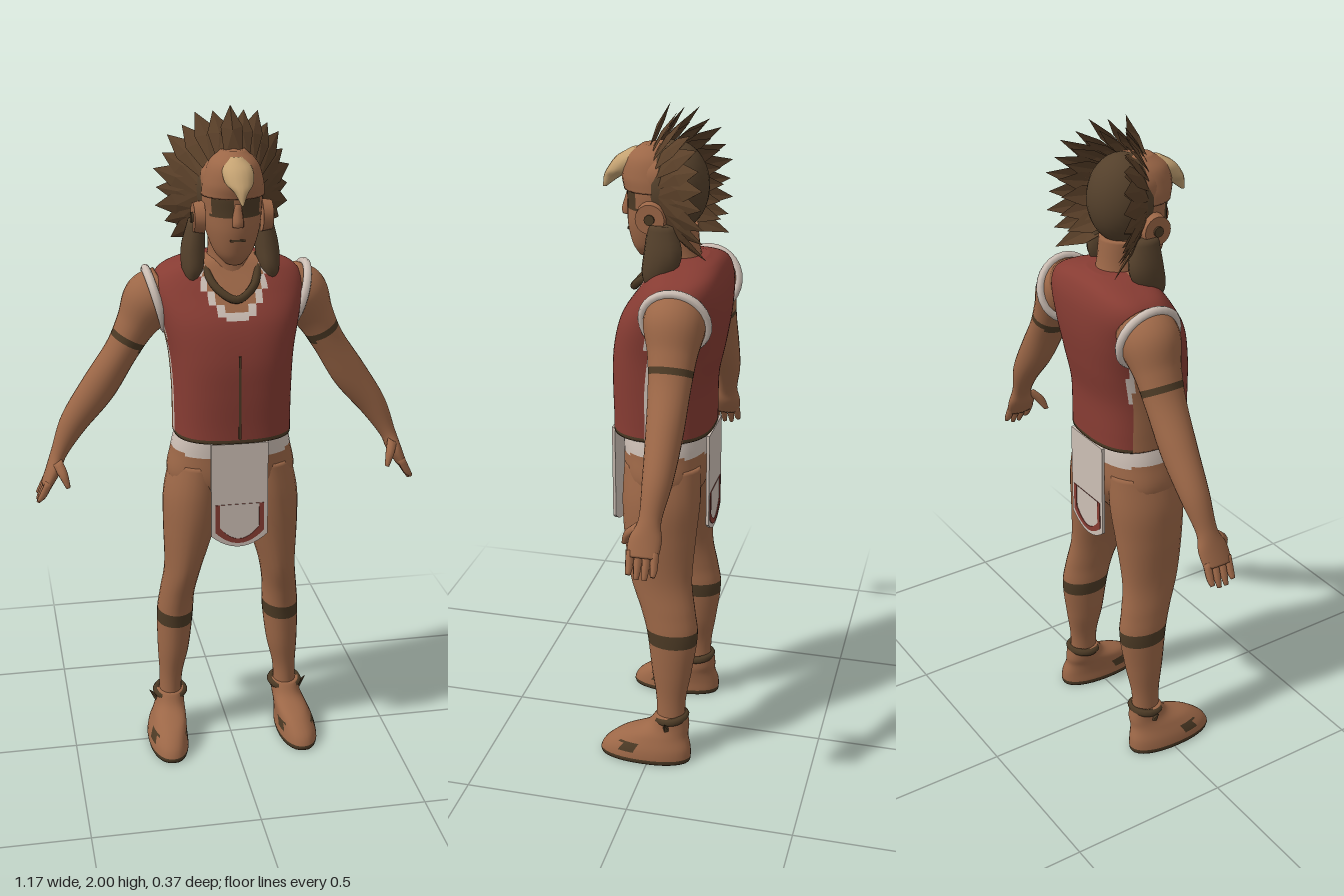
import * as THREE from 'three';
import { mergeGeometries } from 'three/addons/utils/BufferGeometryUtils.js';

const V = (x, y, z) => new THREE.Vector3(x, y, z);
const mat = (name, color, extra = {}) => {
  const m = new THREE.MeshStandardMaterial({ color, ...extra });
  m.name = name;
  return m;
};
const skin = mat('skin', 0x9c6747);
const red = mat('red cloth', 0x873c33);
const white = mat('white cloth', 0xcdbfb5, { side: THREE.DoubleSide });
const feather = mat('feather brown', 0x5a4029, { side: THREE.DoubleSide, flatShading: true });
const hair = mat('hair brown', 0x54402b);
const dark = mat('dark leather', 0x4c3a25);
const horn = mat('beak tan', 0xc4a272);
const palette = [skin, red, white, dark];
const SKIN = 0, RED = 1, WHITE = 2, DARK = 3;

// Smooth body through rings [x, y, z, radiusX, radiusZ], listed from top to bottom.
// pick(x, y, z) chooses a palette entry for each face; tilt turns rings along the path.
function loft(rings, { n = 24, rows = 24, e = 1, tilt = false, pick = null } = {}) {
  const first = rings[0], last = rings[rings.length - 1];
  const all = [[...first.slice(0, 3), 0, 0], ...rings, [...last.slice(0, 3), 0, 0]];
  const path = new THREE.CatmullRomCurve3(rings.map(r => V(r[0], r[1], r[2])), false, 'catmullrom');
  const size = new THREE.CatmullRomCurve3(rings.map(r => V(r[3], r[4], 0)), false, 'catmullrom');
  const samples = [];
  for (let i = 0; i <= rows; i++) samples.push([path.getPoint(i / rows), size.getPoint(i / rows)]);
  // closed ends
  samples.unshift([V(...all[0].slice(0, 3)), V(0, 0, 0)]);
  samples.push([V(...last.slice(0, 3)), V(0, 0, 0)]);
  const pos = [], buckets = palette.map(() => []), pw = v => Math.sign(v) * Math.abs(v) ** e;
  samples.forEach(([c, s], i) => {
    const a = samples[Math.max(i - 2, 0)][0], b = samples[Math.min(i + 2, samples.length - 1)][0];
    const t = tilt ? V(b.x - a.x, b.y - a.y, 0).normalize() : V(0, -1, 0);
    for (let j = 0; j < n; j++) {
      const k = j / n * Math.PI * 2, u = pw(Math.cos(k)) * Math.max(s.x, 0.0005);
      pos.push(c.x - t.y * u, c.y + t.x * u, c.z + pw(Math.sin(k)) * Math.max(s.y, 0.0005));
    }
  });
  for (let i = 0; i < samples.length - 1; i++) for (let j = 0; j < n; j++) {
    const a = i * n + j, b = i * n + (j + 1) % n, c = a + n, d = b + n;
    const mid = k => (pos[a * 3 + k] + pos[b * 3 + k] + pos[c * 3 + k] + pos[d * 3 + k]) / 4;
    buckets[pick ? pick(mid(0), mid(1), mid(2)) : 0].push(a, b, c, b, d, c);
  }
  const geo = new THREE.BufferGeometry();
  geo.setAttribute('position', new THREE.Float32BufferAttribute(pos, 3));
  geo.setIndex(buckets.flat());
  if (pick) {
    let start = 0;
    buckets.forEach((f, m) => { if (f.length) geo.addGroup(start, f.length, m); start += f.length; });
  }
  geo.computeVertexNormals();
  return geo;
}

function mirrored(geo) {
  const g = geo.clone().scale(-1, 1, 1), ix = g.index.array;
  for (let i = 0; i < ix.length; i += 3) [ix[i], ix[i + 1]] = [ix[i + 1], ix[i]];
  return g;
}

// One ridged, kite-shaped feather
function plume(base, tip, across, w) {
  const at = (t, s, lift = 0) => base.clone().lerp(tip, t).addScaledVector(across, s * w).add(V(0, 0, lift));
  const A = at(0, -0.5), B = at(0, 0.5), C = at(0.6, -0.6), D = at(0.6, 0.6), M = at(0.55, 0, 0.012);
  const tris = [A, B, M, A, M, C, B, D, M, C, M, tip, M, D, tip];
  const g = new THREE.BufferGeometry().setFromPoints(tris);
  g.computeVertexNormals();
  return g;
}

// Apron outline, inset by d, with a rounded lower edge
function apronOutline(d, Kind = THREE.Shape) {
  const w = 0.085 - d, lo = 0.76 + d;
  const s = new Kind();
  s.moveTo(-w, 1.05);
  s.lineTo(-w, lo);
  s.quadraticCurveTo(0, lo - 0.075, w, lo);
  s.lineTo(w, 1.05);
  s.closePath();
  return s;
}

export function createModel() {
  const root = new THREE.Group();
  const add = (name, geo, material, parent = root) => {
    const m = new THREE.Mesh(geo, material);
    m.name = name;
    parent.add(m);
    return m;
  };
  const both = (name, geo, material) => {
    add('left' + name, geo, material);
    add('right' + name, mirrored(geo), material);
  };

  // Sleeveless vest with scooped neck and open sides
  add('vest', loft([
    [0, 1.575, -0.06, 0.065, 0.06], [0, 1.56, -0.07, 0.13, 0.085], [0, 1.53, -0.07, 0.2, 0.105],
    [0, 1.48, -0.058, 0.222, 0.128], [0, 1.4, -0.032, 0.205, 0.153], [0, 1.3, -0.012, 0.184, 0.158],
    [0, 1.2, 0, 0.176, 0.15], [0, 1.1, 0, 0.174, 0.148], [0, 1.05, 0, 0.174, 0.148]
  ], { n: 72, rows: 64, e: 0.76, pick: (x, y, z) => {
    const d = (x / 0.085) ** 2 + ((y - 1.56) / 0.125) ** 2;
    if (z > -0.05 && d < 1.4) return d < 1 ? SKIN : WHITE;
    if (Math.abs(x) > 0.155 && y < 1.42 && z > -0.11 && z < 0.015) return z > -0.09 && z < -0.005 ? SKIN : WHITE;
    return y < 1.06 ? DARK : RED;
  } }), palette);
  add('vestSeam', new THREE.BoxGeometry(0.007, 0.25, 0.006).translate(0, 1.19, 0.149), dark);
  const hole = new THREE.TorusGeometry(0.093, 0.013, 8, 28).rotateY(Math.PI / 2).rotateZ(-0.28)
    .translate(0.212, 1.437, -0.075);
  both('ArmholeTrim', hole, white);

  // Hips with cloth waistband
  add('hips', loft([
    [0, 1.08, 0, 0.16, 0.125], [0, 1.0, -0.008, 0.18, 0.128], [0, 0.9, -0.012, 0.188, 0.122], [0, 0.8, -0.01, 0.1, 0.07]
  ], { n: 40, rows: 28, e: 0.85, pick: (x, y) => y > 1.0 + 0.1 * (Math.abs(x) - 0.17) ? WHITE : SKIN }), palette);

  // Front and back aprons with a stitched border
  const border = apronOutline(0.012);
  border.holes.push(apronOutline(0.026, THREE.Path));
  for (const [name, turn, z] of [['frontApron', 0, 0.143], ['backApron', Math.PI, 0.146]]) {
    const g = new THREE.Group();
    g.name = name;
    g.rotation.y = turn;
    const ext = (s, depth, off) => new THREE.ExtrudeGeometry(s, { depth, bevelEnabled: false, curveSegments: 12 })
      .translate(0, 0, off);
    add(name + 'Cloth', ext(apronOutline(0), 0.009, z - 0.005), white, g);
    // border only on the lower part
    const trim = ext(border, 0.003, z + 0.003), p = trim.attributes.position;
    for (let i = 0; i < p.count; i++) if (p.getY(i) > 0.95) p.setY(i, 0.86);
    add(name + 'Border', trim, red, g);
    root.add(g);
  }

  // Legs with a band under the knee
  both('Leg', loft([
    [0.1, 0.96, -0.012, 0.082, 0.115], [0.113, 0.85, -0.012, 0.092, 0.118], [0.128, 0.74, -0.012, 0.079, 0.11],
    [0.148, 0.6, -0.02, 0.056, 0.095], [0.163, 0.5, -0.045, 0.053, 0.084], [0.169, 0.42, -0.06, 0.056, 0.078],
    [0.176, 0.3, -0.06, 0.049, 0.062], [0.185, 0.2, -0.06, 0.036, 0.046], [0.188, 0.1, -0.06, 0.036, 0.045]
  ], { rows: 72, pick: (x, y) => y > 0.4 && y < 0.436 ? DARK : SKIN }), palette);

  // Moccasins with dark soles, straps and ankle ties
  both('Shoe', loft([
    [0.189, 0.15, -0.064, 0.043, 0.05], [0.191, 0.11, -0.05, 0.045, 0.068], [0.198, 0.08, -0.012, 0.051, 0.105],
    [0.206, 0.045, 0.008, 0.058, 0.134], [0.208, 0.015, 0.016, 0.062, 0.144], [0.208, 0, 0.016, 0.06, 0.142]
  ], { rows: 30, n: 32, e: 0.9, pick: (x, y, z) =>
    y < 0.014 || (z > 0.035 && z < 0.085 && y > 0.035 && y < 0.065) ? DARK : SKIN }), palette);
  both('AnkleTie', new THREE.TorusGeometry(0.044, 0.012, 6, 20).rotateX(Math.PI / 2 + 0.15)
    .translate(0.188, 0.14, -0.062), dark);
  both('TieKnot', new THREE.ConeGeometry(0.016, 0.06, 5).rotateZ(-0.7).translate(0.238, 0.125, -0.055), dark);

  // Arms with bands, hands and fingers
  both('Arm', loft([
    [0.175, 1.465, -0.075, 0.075, 0.08], [0.225, 1.43, -0.077, 0.085, 0.088], [0.27, 1.36, -0.082, 0.06, 0.07],
    [0.315, 1.28, -0.085, 0.05, 0.06], [0.385, 1.17, -0.088, 0.053, 0.052], [0.462, 1.065, -0.088, 0.042, 0.042],
    [0.51, 0.975, -0.08, 0.025, 0.032], [0.53, 0.925, -0.072, 0.022, 0.046], [0.553, 0.878, -0.068, 0.016, 0.045]
  ], { rows: 72, tilt: true, pick: (x, y) => {
    const along = x * 0.5 - y * 0.87;
    return along > -1.01 && along < -0.985 ? DARK : SKIN;
  } }), palette);
  for (let i = 0; i < 4; i++) {
    const z = -0.102 + i * 0.023, y = 0.825 + (i === 0 || i === 3 ? 0.012 : 0);
    both('Finger', loft([[0.546, 0.895, z, 0.012, 0.012], [0.566, 0.855, z - 0.002, 0.011, 0.011],
      [0.58, y, z - 0.002, 0.006, 0.007]], { n: 8, rows: 6, tilt: true }), skin);
  }
  both('Thumb', loft([[0.52, 0.955, -0.05, 0.016, 0.018], [0.505, 0.925, -0.02, 0.014, 0.016],
    [0.492, 0.888, -0.002, 0.007, 0.008]], { n: 10, rows: 8, tilt: true }), skin);

  // Neck, face and painted eyes
  add('neck', loft([[0, 1.66, -0.02, 0.065, 0.07], [0, 1.58, -0.035, 0.062, 0.065], [0, 1.5, -0.045, 0.08, 0.08]]), skin);
  add('head', loft([
    [0, 1.89, 0, 0.03, 0.04], [0, 1.83, 0, 0.083, 0.1], [0, 1.77, 0.01, 0.088, 0.103], [0, 1.72, 0.014, 0.085, 0.098],
    [0, 1.66, 0.022, 0.077, 0.09], [0, 1.6, 0.037, 0.055, 0.062], [0, 1.565, 0.045, 0.025, 0.035]
  ], { n: 48, rows: 48, pick: (x, y, z) => z > 0.05 && Math.abs(x) > 0.014 && Math.abs(x) < 0.07
    && Math.abs(y - 1.73) < 0.024 ? DARK : SKIN }), palette);
  add('nose', loft([[0, 1.745, 0.105, 0.01, 0.012], [0, 1.7, 0.113, 0.016, 0.018], [0, 1.682, 0.115, 0.016, 0.014]],
    { n: 10, rows: 8 }), skin);
  add('mouth', new THREE.BoxGeometry(0.042, 0.006, 0.008).translate(0, 1.642, 0.107), dark);

  // Bird-head hood: brow, hooked beak and domed back
  add('hoodBrow', loft([[0, 1.885, 0.025, 0.035, 0.045], [0, 1.85, 0.035, 0.07, 0.08], [0, 1.8, 0.035, 0.086, 0.093],
    [0, 1.76, 0.03, 0.09, 0.092]]), skin);
  add('beak', loft([[0, 1.872, 0.075, 0.018, 0.025], [0, 1.845, 0.1, 0.042, 0.045], [0, 1.81, 0.13, 0.04, 0.042],
    [0, 1.785, 0.16, 0.018, 0.024], [0, 1.755, 0.182, 0.003, 0.005]], { n: 16 }), horn);
  add('hoodDome', new THREE.SphereGeometry(1, 28, 20).scale(0.1, 0.128, 0.1).translate(0, 1.768, -0.022), hair);
  both('EarDisc', new THREE.CylinderGeometry(0.042, 0.047, 0.03, 20).rotateZ(-Math.PI / 2).translate(0.098, 1.695, 0.022), skin);
  both('EarStud', new THREE.CylinderGeometry(0.015, 0.015, 0.008, 12).rotateZ(-Math.PI / 2).translate(0.115, 1.695, 0.022), dark);

  // Feather crown in two layers, swept back at the sides
  const plumes = [];
  const fan = (count, limit, reach, w) => {
    for (let i = 0; i < count; i++) {
      const a = (i / (count - 1) * 2 - 1) * limit, s = Math.sin(a), c = Math.cos(a), q = Math.abs(s);
      const r = reach * (i % 2 ? 0.95 : 1);
      const back = Math.abs(a) > Math.PI / 2 ? 1 : q;
      plumes.push(plume(V(0.085 * s, 1.76 + 0.1 * c, 0.05 - 0.04 * back),
        V(0.205 * s * r, 1.76 + 0.24 * c * r, -0.01 - 0.14 * back * r), V(c, -s, 0), w));
    }
  };
  fan(21, 2.3, 1, 0.052);
  fan(18, 2.2, 0.84, 0.05);
  add('featherCrown', mergeGeometries(plumes), feather);

  // Hanging locks and necklace
  both('Lock', loft([[0.098, 1.68, -0.01, 0.025, 0.04], [0.108, 1.6, -0.015, 0.035, 0.055],
    [0.112, 1.54, 0.0, 0.03, 0.045], [0.118, 1.495, 0.015, 0.008, 0.012]], { n: 12, rows: 16 }), hair);
  const cord = new THREE.CatmullRomCurve3([V(-0.085, 1.57, -0.03), V(-0.055, 1.5, 0.065), V(0, 1.468, 0.096),
    V(0.055, 1.5, 0.065), V(0.085, 1.57, -0.03)]);
  add('necklace', new THREE.TubeGeometry(cord, 32, 0.012, 8), dark);
  return root;
}
